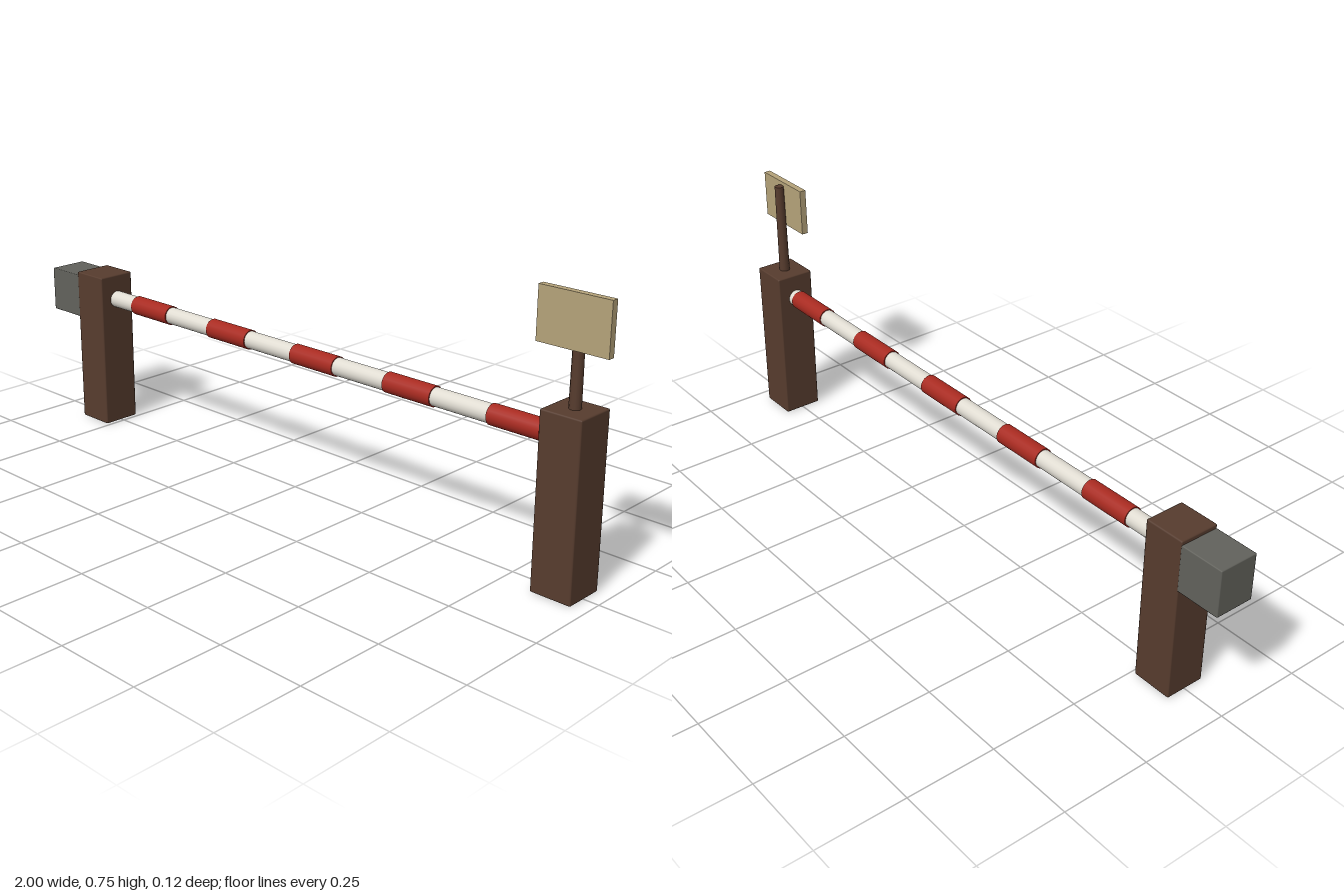
import * as THREE from 'three';
import { RoundedBoxGeometry } from 'three/addons/geometries/RoundedBoxGeometry.js';

const mat = (name, color) => {
  const m = new THREE.MeshStandardMaterial({ color });
  m.name = name;
  return m;
};

export function createModel() {
  const model = new THREE.Group();
  model.name = 'barrierGate';

  const wood = mat('darkWood', 0x573c2e);
  const white = mat('whitePaint', 0xe0dcd2);
  const red = mat('redPaint', 0xa82a20);
  const metal = mat('greyMetal', 0x62625c);
  const tan = mat('tanBoard', 0xb5a37a);

  const add = (name, geometry, material, x, y, z = 0) => {
    const mesh = new THREE.Mesh(geometry, material);
    mesh.name = name;
    mesh.position.set(x, y, z);
    model.add(mesh);
    return mesh;
  };

  // Two square posts with slightly softened edges
  const postGeometry = new RoundedBoxGeometry(0.116, 0.468, 0.116, 1, 0.004);
  add('rightPost', postGeometry, wood, -0.818, 0.234);
  add('leftPost', postGeometry, wood, 0.9, 0.234);

  // Counterweight on the outer side of the pivot post
  add('counterweight', new RoundedBoxGeometry(0.135, 0.132, 0.114, 1, 0.003), metal, -0.9325, 0.391);

  // Bar between the posts, with raised red bands
  const barY = 0.393;
  const rod = (radius, length) => new THREE.CylinderGeometry(radius, radius, length, 20).rotateZ(Math.PI / 2);
  add('bar', rod(0.025, 1.66), white, 0.03, barY);
  const bandGeometry = rod(0.028, 0.155);
  for (let i = 0; i < 5; i++) {
    add('redBand' + (i + 1), bandGeometry, red, -0.583 + i * 0.332, barY);
  }

  // Sign on a thin, slightly tapered stake
  add('signStake', new THREE.CylinderGeometry(0.0135, 0.0155, 0.282, 12), wood, 0.9, 0.601);
  add('signBoard', new THREE.BoxGeometry(0.198, 0.137, 0.019), tan, 0.901, 0.6845, 0.021);

  return model;
}
